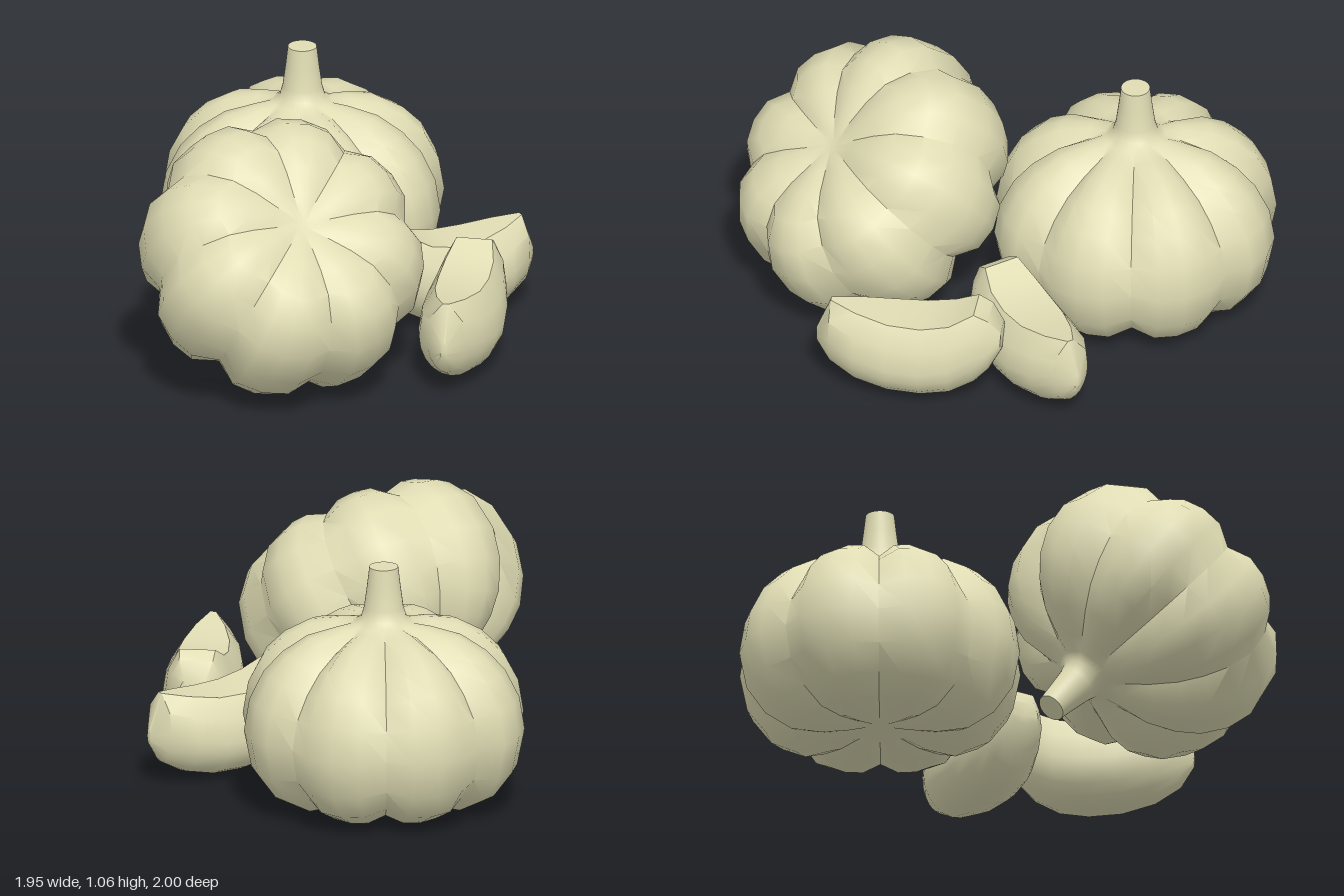
import * as THREE from 'three';
import { toCreasedNormals } from 'three/addons/utils/BufferGeometryUtils.js';

// Skin a row of closed rings and close both ends with fans.
function loft(rings, crease) {
  const n = rings[0].length;
  const pos = [];
  const tri = (...pts) => pts.forEach((p) => pos.push(p.x, p.y, p.z));
  const middle = (ring) => ring.reduce((s, p) => s.add(p), new THREE.Vector3()).divideScalar(n);
  const first = rings[0], last = rings[rings.length - 1];
  const c0 = middle(first), c1 = middle(last);
  for (let j = 0; j < n; j++) {
    const k = (j + 1) % n;
    tri(c0, first[k], first[j]);
    for (let i = 0; i < rings.length - 1; i++) {
      const a = rings[i], b = rings[i + 1];
      tri(a[j], a[k], b[j]);
      tri(a[k], b[k], b[j]);
    }
    tri(c1, last[j], last[k]);
  }
  const geo = new THREE.BufferGeometry();
  geo.setAttribute('position', new THREE.Float32BufferAttribute(pos, 3));
  return toCreasedNormals(geo, crease);
}

// Bulb with eight lobes: each row is ridge radius, ridge y, groove radius, groove y.
const BULB_MID = 0.37;
function bulbGeometry() {
  const rows = [
    [0.04, 0.07, 0.04, 0.07],
    [0.13, 0.045, 0.12, 0.06],
    [0.25, 0.025, 0.23, 0.05],
    [0.38, 0.03, 0.34, 0.06],
    [0.49, 0.09, 0.44, 0.12],
    [0.57, 0.2, 0.52, 0.22],
    [0.602, 0.36, 0.548, 0.36],
    [0.58, 0.5, 0.52, 0.48],
    [0.52, 0.62, 0.46, 0.58],
    [0.44, 0.7, 0.385, 0.66],
    [0.33, 0.765, 0.29, 0.72],
    [0.2, 0.79, 0.19, 0.765],
    [0.125, 0.795, 0.125, 0.79],
    [0.095, 0.815, 0.095, 0.815],
    [0.082, 0.86, 0.082, 0.86],
    [0.07, 0.95, 0.07, 0.95],
    [0.06, 1.035, 0.06, 1.035],
  ];
  const bulge = [0, 0.85, 1, 0.85];
  const rings = rows.map(([rr, ry, gr, gy]) => Array.from({ length: 32 }, (_, j) => {
    const a = (j / 32) * Math.PI * 2;
    const w = bulge[j % 4];
    const r = gr + (rr - gr) * w;
    return new THREE.Vector3(r * Math.sin(a), gy + (ry - gy) * w - BULB_MID, r * Math.cos(a));
  }));
  return loft(rings, 0.75);
}

// Crescent clove along z, pointed at -z, blunt at +z.
function cloveGeometry() {
  // z, half width, half width of the flat top, bottom y, top y
  const stations = [
    [-0.39, 0.012, 0.004, 0.2, 0.27],
    [-0.33, 0.08, 0.012, 0.11, 0.42],
    [-0.22, 0.135, 0.06, 0.05, 0.4],
    [-0.08, 0.165, 0.095, 0.018, 0.38],
    [0.06, 0.172, 0.105, 0.015, 0.38],
    [0.18, 0.16, 0.1, 0.035, 0.405],
    [0.28, 0.135, 0.075, 0.09, 0.46],
    [0.34, 0.11, 0.07, 0.16, 0.43],
    [0.39, 0.065, 0.045, 0.26, 0.36],
  ];
  const rings = stations.map(([z, w, top, yb, yt]) => {
    const half = [];
    for (let i = 1; i <= 5; i++) {
      const a = (i / 5) * Math.PI / 2;
      half.push([w * Math.sin(a), 0.48 * (1 - Math.cos(a))]);
    }
    half.push([Math.max(0.9 * w, top), 0.76], [top, 1]);
    const left = half.map(([x, t]) => [-x, t]).reverse();
    return [[0, 0], ...half, ...left].map(([x, t]) => new THREE.Vector3(x, yb + (yt - yb) * t, z));
  });
  return loft(rings, 0.75);
}

export function createModel() {
  const model = new THREE.Group();
  model.name = 'garlic';
  const skin = new THREE.MeshStandardMaterial({ color: 0xe0ddb4 });
  const bulbGeo = bulbGeometry();
  const cloveGeo = cloveGeometry();
  const add = (name, geo, x, y, z) => {
    const mesh = new THREE.Mesh(geo, skin);
    mesh.name = name;
    mesh.position.set(x, y, z);
    model.add(mesh);
    return mesh;
  };

  add('uprightBulb', bulbGeo, 0.39, BULB_MID, -0.415);

  // Bulb lying over with its stem down and to the back
  const tipped = add('tippedBulb', bulbGeo, -0.39, 0.545, 0.345);
  const stem = new THREE.Vector3(0.16, -0.75, -0.64).normalize();
  const side = new THREE.Vector3().crossVectors(stem, new THREE.Vector3(0.22, 0.66, -0.72)).normalize();
  const groove = new THREE.Vector3().crossVectors(side, stem);
  tipped.quaternion.setFromRotationMatrix(new THREE.Matrix4().makeBasis(side, stem, groove));

  // Two loose cloves
  const front = add('frontClove', cloveGeo, 0.257, 0, 0.741);
  front.rotation.y = Math.atan2(0.79, -0.61);
  const back = add('sideClove', cloveGeo, 0.575, 0, 0.338);
  back.rotation.y = Math.atan2(-0.975, -0.22);
  back.scale.set(1.04, 0.97, 0.93);
  return model;
}
